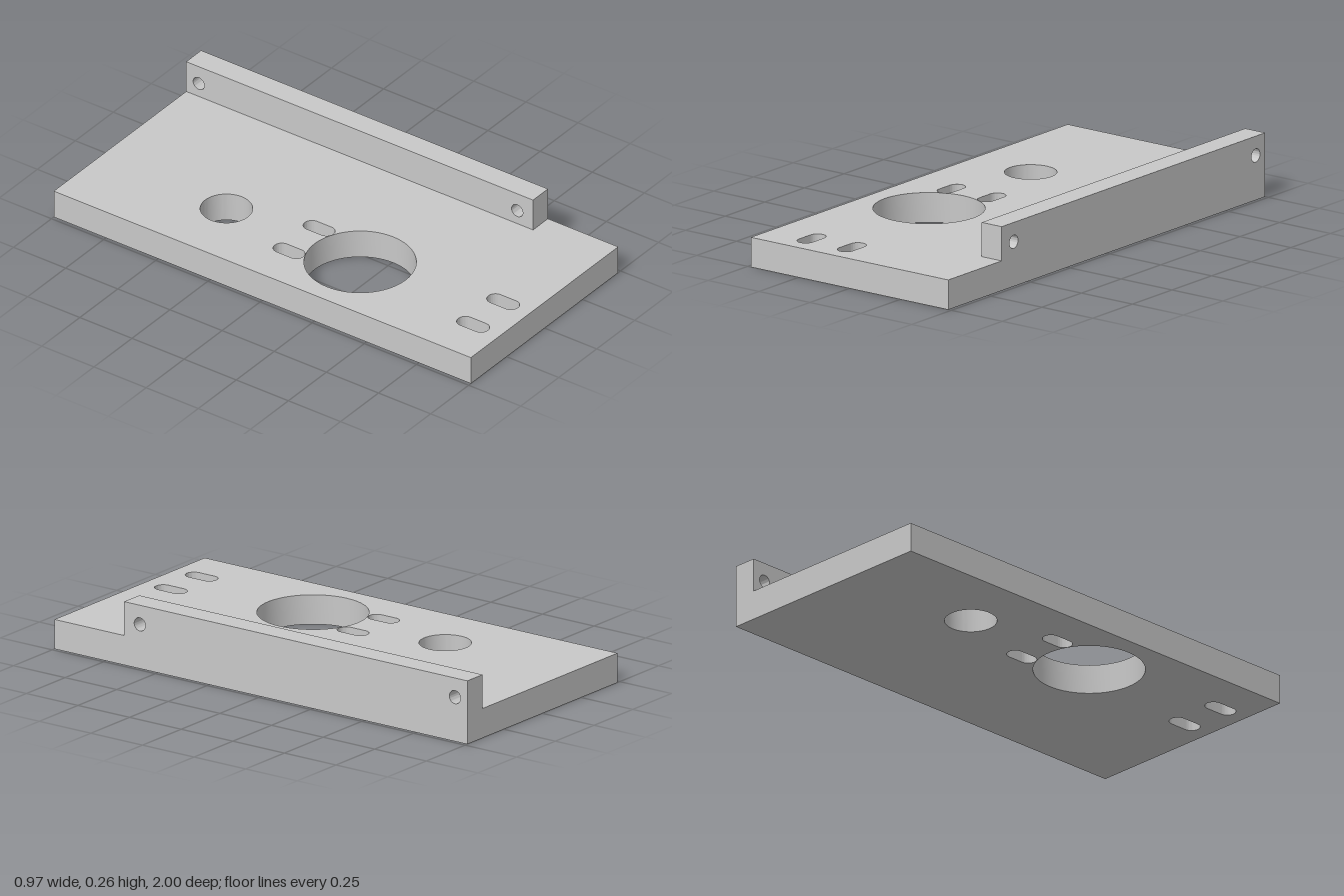
import * as THREE from 'three';
import { toCreasedNormals } from 'three/addons/utils/BufferGeometryUtils.js';

const SLOT_R = 0.034;

function rect(x0, y0, x1, y1) {
  return new THREE.Shape([[x0, y0], [x1, y0], [x1, y1], [x0, y1]].map(p => new THREE.Vector2(...p)));
}

function roundHole(x, y, r) {
  return new THREE.Path().absarc(x, y, r, 0, Math.PI * 2, false);
}

function slotHole(x, y0, y1) {
  const p = new THREE.Path();
  p.absarc(x, y1, SLOT_R, 0, Math.PI, false);
  p.absarc(x, y0, SLOT_R, Math.PI, Math.PI * 2, false);
  p.closePath();
  return p;
}

function extrude(shape, depth) {
  return new THREE.ExtrudeGeometry(shape, { depth, bevelEnabled: false, curveSegments: 32 });
}

export function createModel() {
  const model = new THREE.Group();
  model.name = 'mountingBracket';
  const metal = new THREE.MeshStandardMaterial({ color: 0xc8c8c8 });
  metal.name = 'light grey metal';

  const add = (name, geometry) => {
    const mesh = new THREE.Mesh(toCreasedNormals(geometry, 0.6), metal);
    mesh.name = name;
    model.add(mesh);
  };

  // Base plate, drawn in x and -z, with its bores and two pairs of slots
  const plate = rect(-0.485, -1, 0.485, 1);
  plate.holes.push(roundHole(-0.19, 0.387, 0.102), roundHole(-0.19, -0.254, 0.218));
  for (const x of [-0.289, -0.091]) {
    plate.holes.push(slotHole(x, -0.02, 0.049), slotHole(x, -0.905, -0.831));
  }
  add('basePlate', extrude(plate, 0.12).rotateX(-Math.PI / 2));

  // Side rail, drawn in -z and y, with two cross holes
  const rail = rect(-0.663, 0.12, 1, 0.258);
  rail.holes.push(roundHole(-0.587, 0.18, 0.027), roundHole(0.94, 0.18, 0.027));
  add('sideRail', extrude(rail, 0.098).rotateY(Math.PI / 2).translate(0.387, 0, 0));

  return model;
}
